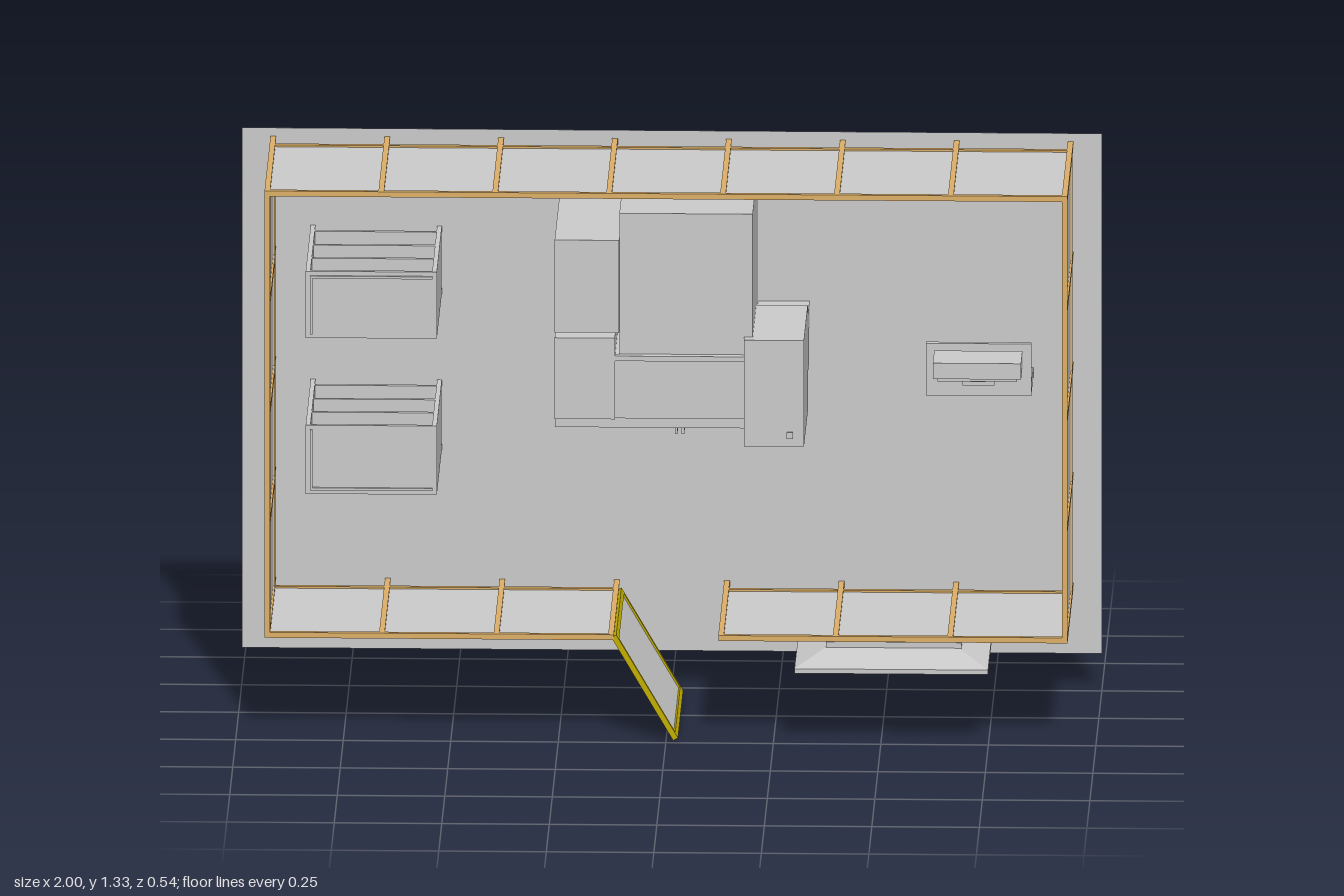
import * as THREE from 'three';

const paint = (color) => new THREE.MeshStandardMaterial({ color, side: THREE.DoubleSide });
const GREY = paint(0xcccccc), WOOD = paint(0xdeb068), YELLOW = paint(0xc4b000);
const GROUND = -0.272, TOP = 0.23, LOW = -0.203; // heights along z
const BAR = 0.013;

// Box given by its extents along each axis
function block(parent, name, x0, x1, y0, y1, z0, z1, mat = GREY) {
  const m = new THREE.Mesh(new THREE.BoxGeometry(x1 - x0, y1 - y0, z1 - z0), mat);
  m.position.set((x0 + x1) / 2, (y0 + y1) / 2, (z0 + z1) / 2);
  m.name = name;
  parent.add(m);
  return m;
}

function group(parent, name) {
  const g = new THREE.Group();
  g.name = name;
  parent.add(g);
  return g;
}

// Framed wall run along local x, with posts reaching down to the ground
function wall(parent, name, x, y, angle, length, bays, mat, postLow) {
  const g = group(parent, name), h = BAR / 2;
  g.position.set(x, y, 0);
  g.rotation.z = angle;
  block(g, 'wallPanel', 0, length, -0.002, 0.002, LOW, TOP - h);
  block(g, 'topRail', -h, length + h, -h, h, TOP - BAR, TOP, mat);
  block(g, 'lowerRail', -h, length + h, -h, h, LOW, LOW + BAR, mat);
  for (let i = 0; i <= bays; i++) {
    const p = (length * i) / bays;
    block(g, 'post', p - h, p + h, -h, h, postLow, TOP, mat);
  }
}

// Tall open shelf unit; side is +1 or -1 for the edge with the lip
function shelfUnit(parent, y0, y1, side) {
  const g = group(parent, 'shelfUnit');
  const x0 = -0.84, x1 = -0.535, t = 0.011, top = 0.15;
  for (const x of [x0, x1 - t]) {
    block(g, 'sidePanel', x, x + t, y0, y1, -0.225, top);
    for (const y of [y0, y1 - t]) block(g, 'foot', x, x + t, y, y + t, GROUND, -0.225);
  }
  for (const z of [-0.225, -0.1, 0.02, top - t]) block(g, 'shelf', x0, x1, y0, y1, z, z + t);
  const lip = side > 0 ? y1 - 0.016 : y0 + 0.01;
  block(g, 'longLip', x0 + 0.01, x1 - 0.01, lip, lip + 0.006, top, top + 0.006);
  block(g, 'shortLip', x0 + 0.01, x0 + 0.016, y0 + 0.01, y1 - 0.01, top, top + 0.006);
}

// Stepped cluster of tall cabinets in the middle
function cabinets(parent) {
  const g = group(parent, 'cabinetCluster');
  block(g, 'tallCabinet', -0.11, 0.2, 0.91, 1.25, GROUND, 0.17);
  block(g, 'upperSideCabinet', -0.26, -0.11, 0.968, 1.19, GROUND, 0.19);
  block(g, 'lowerSideCabinet', -0.26, -0.12, 0.76, 0.955, -0.19, 0.19);
  block(g, 'lowerSideBase', -0.26, -0.12, 0.87, 0.955, GROUND, -0.19);
  block(g, 'recessedFront', -0.12, 0.18, 0.76, 0.91, -0.19, 0.18);
  block(g, 'frontBase', -0.12, 0.18, 0.87, 0.91, GROUND, -0.19);
  block(g, 'frontHeader', -0.12, 0.18, 0.9, 0.912, 0.17, 0.19);
  block(g, 'frontEdge', -0.26, 0.18, 0.73, 0.76, -0.12, 0.15);
  block(g, 'projectingCabinet', 0.18, 0.32, 0.7, 0.955, -0.12, 0.2);
  block(g, 'projectingLip', 0.185, 0.315, 0.69, 0.7, -0.08, 0.16);
  block(g, 'rearStep', 0.18, 0.32, 0.79, 0.925, -0.2, -0.12);
  block(g, 'rearStepBase', 0.18, 0.32, 0.87, 0.925, GROUND, -0.2);
  for (const x of [0.018, 0.034]) block(g, 'handle', x, x + 0.006, 0.712, 0.73, 0.08, 0.14);
  block(g, 'knob', 0.28, 0.295, 0.72, 0.735, 0.2, 0.206);
}

// Desk with a screen and keyboard
function desk(parent) {
  const g = group(parent, 'desk');
  block(g, 'deskTop', 0.595, 0.84, 0.745, 0.87, -0.12, -0.105);
  block(g, 'deskPanel', 0.595, 0.84, 0.745, 0.77, GROUND, -0.12);
  block(g, 'screen', 0.615, 0.82, 0.82, 0.858, -0.085, 0.03);
  block(g, 'screenRim', 0.625, 0.81, 0.812, 0.82, -0.075, 0.02);
  block(g, 'screenStand', 0.7, 0.735, 0.79, 0.82, -0.105, -0.06);
  block(g, 'standFoot', 0.67, 0.765, 0.79, 0.8, -0.105, -0.098);
  block(g, 'keyboard', 0.68, 0.755, 0.772, 0.785, -0.105, -0.095);
}

// Bench with uprights that carry a sloping panel
function benchAndCanopy(parent) {
  const g = group(parent, 'bench');
  const x0 = 0.37, x1 = 0.685, y0 = 0.11, y1 = 0.222, t = 0.014;
  block(g, 'seat', x0, x1, y0, y1, -0.205, -0.197);
  for (const y of [y0, y1 - t]) block(g, 'longRim', x0, x1, y, y + t, -0.205, -0.185);
  for (const x of [x0, x1 - t]) {
    block(g, 'shortRim', x, x + t, y0, y1, -0.205, -0.185);
    block(g, 'frontLeg', x, x + t, y0, y0 + t, GROUND, -0.2);
    block(g, 'upright', x, x + t, 0.207, y1, GROUND, 0.165);
  }
  block(g, 'backBoard', x0, x1, 0.207, y1, -0.02, 0.165);
  block(g, 'canopyPlate', 0.3, 0.75, 0.174, 0.185, -0.032, 0.272);
  const slope = block(g, 'canopySlope', 0.3, 0.75, 0.185, 0.209, -0.032, 0.272);
  const p = slope.geometry.attributes.position;
  for (let i = 0; i < p.count; i++) {
    if (p.getY(i) > 0) {
      p.setX(i, p.getX(i) * 0.69);
      p.setZ(i, p.getZ(i) * 0.42 - 0.02);
    }
  }
  slope.geometry = slope.geometry.toNonIndexed();
  slope.geometry.computeVertexNormals();
}

export function createModel() {
  const model = new THREE.Group();
  model.name = 'enclosure';

  block(model, 'groundSheet', -1, 1, 0.083, 1.333, GROUND - 0.001, GROUND);

  // Timber-framed walls with an opening for the gate
  const X = 0.927, Y0 = 0.246, Y1 = 1.307;
  wall(model, 'farWall', -X, Y1, 0, 2 * X, 7, WOOD, GROUND);
  for (const s of [-1, 1]) {
    wall(model, 'sideWall', s * X, Y0, Math.PI / 2, Y1 - Y0, 4, WOOD, GROUND);
    wall(model, 'nearWall', s * X, Y0, s > 0 ? Math.PI : 0, X - 0.128, 3, WOOD, GROUND);
  }

  // Gate standing open
  const dx = 0.137, dy = -0.235;
  wall(model, 'gate', -0.118, 0.243, Math.atan2(dy, dx), Math.hypot(dx, dy), 1, YELLOW, LOW);

  shelfUnit(model, 0.94, 1.1, 1);
  shelfUnit(model, 0.565, 0.73, -1);
  cabinets(model);
  desk(model);
  benchAndCanopy(model);
  return model;
}
